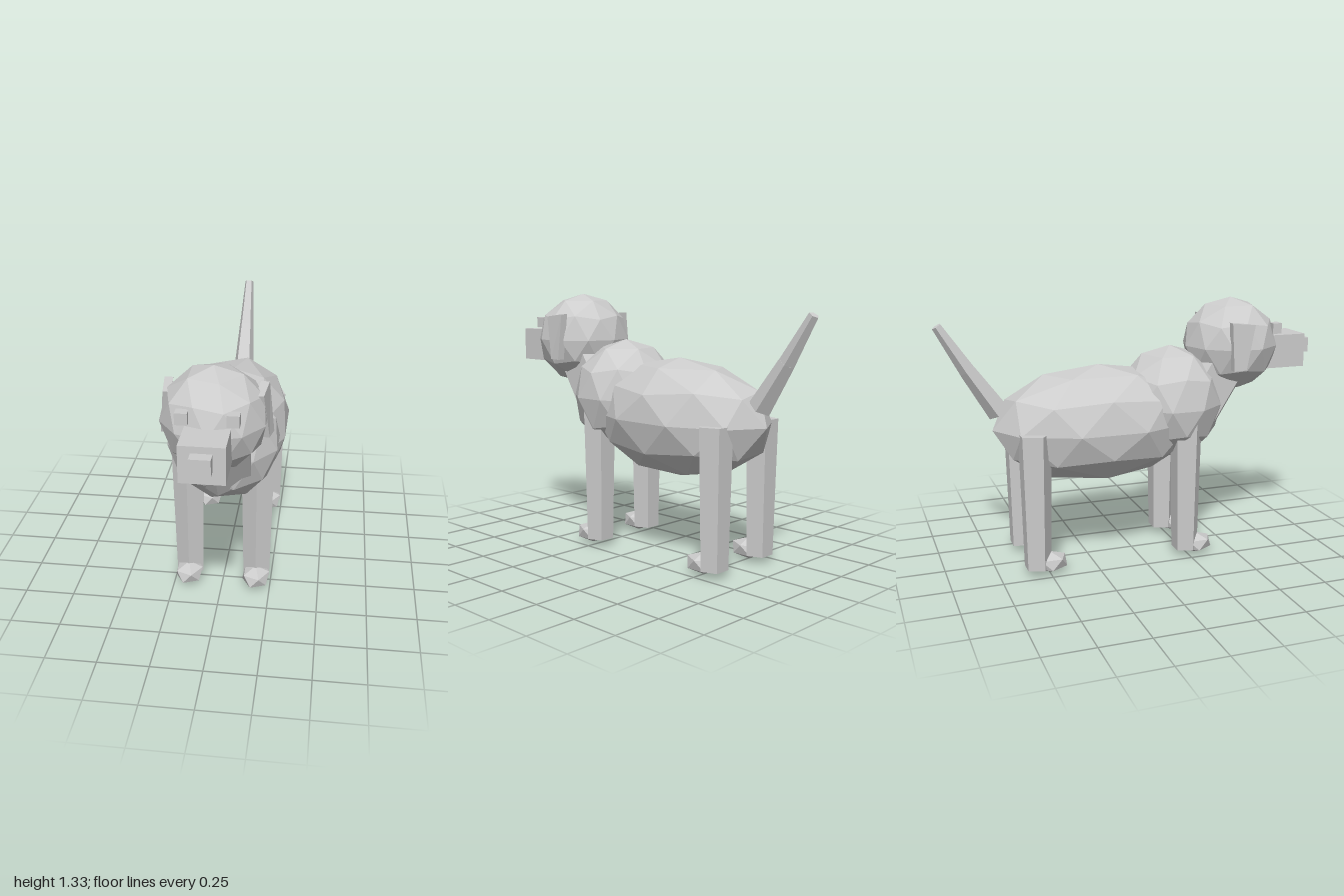
import * as THREE from 'three';

const grey = new THREE.MeshStandardMaterial({ color: 0xcccccc });

// Faceted mesh: split corners so every face keeps its own normal
function part(name, geometry) {
  const g = geometry.index ? geometry.toNonIndexed() : geometry;
  g.computeVertexNormals();
  const mesh = new THREE.Mesh(g, grey);
  mesh.name = name;
  return mesh;
}

// Faceted ellipsoid with a corner at its top and bottom
function ball(name, [x, y, z], [rx, ry, rz], detail = 1) {
  const g = new THREE.IcosahedronGeometry(1, detail);
  g.rotateX(-Math.atan((1 + Math.sqrt(5)) / 2));
  g.rotateY(Math.PI / 2);
  g.scale(rx, ry, rz).translate(x, y, z);
  return part(name, g);
}

// Tapered prism running from one point to another
function limb(name, from, to, r0, r1, sides = 5, turn = 0) {
  const a = new THREE.Vector3(...from), b = new THREE.Vector3(...to);
  const dir = b.clone().sub(a);
  const g = new THREE.CylinderGeometry(r1, r0, dir.length(), sides, 1, false, turn);
  const mesh = part(name, g);
  mesh.position.copy(a).add(b).multiplyScalar(0.5);
  mesh.quaternion.setFromUnitVectors(new THREE.Vector3(0, 1, 0), dir.normalize());
  return mesh;
}

// Box given by its centre and size
function block(name, [x, y, z], size) {
  const g = new THREE.BoxGeometry(...size);
  g.translate(x, y, z);
  return part(name, g);
}

// Floppy ear: a slab that narrows and swings outward towards the bottom
function ear(side) {
  const g = new THREE.BoxGeometry(0.04, 1, 1);
  const p = g.attributes.position;
  for (let i = 0; i < p.count; i++) {
    const top = p.getY(i) > 0, w = p.getZ(i);
    const x = p.getX(i) + (top ? 0.212 : 0.237) - w * 0.015;
    p.setXYZ(i, side * x, top ? 1.218 - w * 0.015 : 0.985, top ? 0.523 + w * 0.135 : 0.497 + w * 0.075);
  }
  if (side < 0) {
    // mirrored copy: restore the corner order
    const id = g.index.array;
    for (let i = 0; i < id.length; i += 3) [id[i], id[i + 1]] = [id[i + 1], id[i]];
  }
  return part(side > 0 ? 'leftEar' : 'rightEar', g);
}

export function createModel() {
  const dog = new THREE.Group();
  dog.name = 'dog';

  // Trunk
  dog.add(
    ball('body', [0, 0.717, -0.18], [0.305, 0.302, 0.55]),
    ball('chest', [0, 0.797, 0.21], [0.285, 0.298, 0.275]),
    limb('neck', [0, 0.71, 0.3], [0, 1.03, 0.5], 0.18, 0.18, 6),
  );

  // Head
  dog.add(
    ball('head', [0, 1.085, 0.55], [0.25, 0.246, 0.25]),
    block('muzzle', [0, 1.043, 0.82], [0.203, 0.175, 0.25]),
    block('nose', [0, 1.06, 0.96], [0.094, 0.078, 0.08]),
  );
  for (const side of [-1, 1]) {
    dog.add(block(side > 0 ? 'leftEye' : 'rightEye', [side * 0.112, 1.172, 0.76], [0.056, 0.055, 0.05]));
    dog.add(ear(side));
  }

  // Legs in two sections, each with a paw
  for (const side of [-1, 1]) {
    for (const [end, z, pawZ] of [['front', 0.238, 0.295], ['rear', -0.56, -0.498]]) {
      const x = side * 0.175;
      const leg = new THREE.Group();
      leg.name = end + (side > 0 ? 'Left' : 'Right') + 'Leg';
      leg.add(
        limb('upperLeg', [x, 0.38, z], [x, 0.73, z], 0.078, 0.086),
        limb('lowerLeg', [x, 0.037, z], [x, 0.38, z], 0.071, 0.078),
        ball('paw', [x, 0.058, pawZ], [0.079, 0.056, 0.1], 0),
      );
      dog.add(leg);
    }
  }

  // Tail in two sections, flat side up
  dog.add(
    limb('tailBase', [0, 0.81, -0.69], [0, 1.03, -0.838], 0.06, 0.043, 5, Math.PI),
    limb('tailTip', [0, 1.02, -0.832], [0, 1.25, -0.975], 0.043, 0.025, 5, Math.PI),
  );
  return dog;
}
